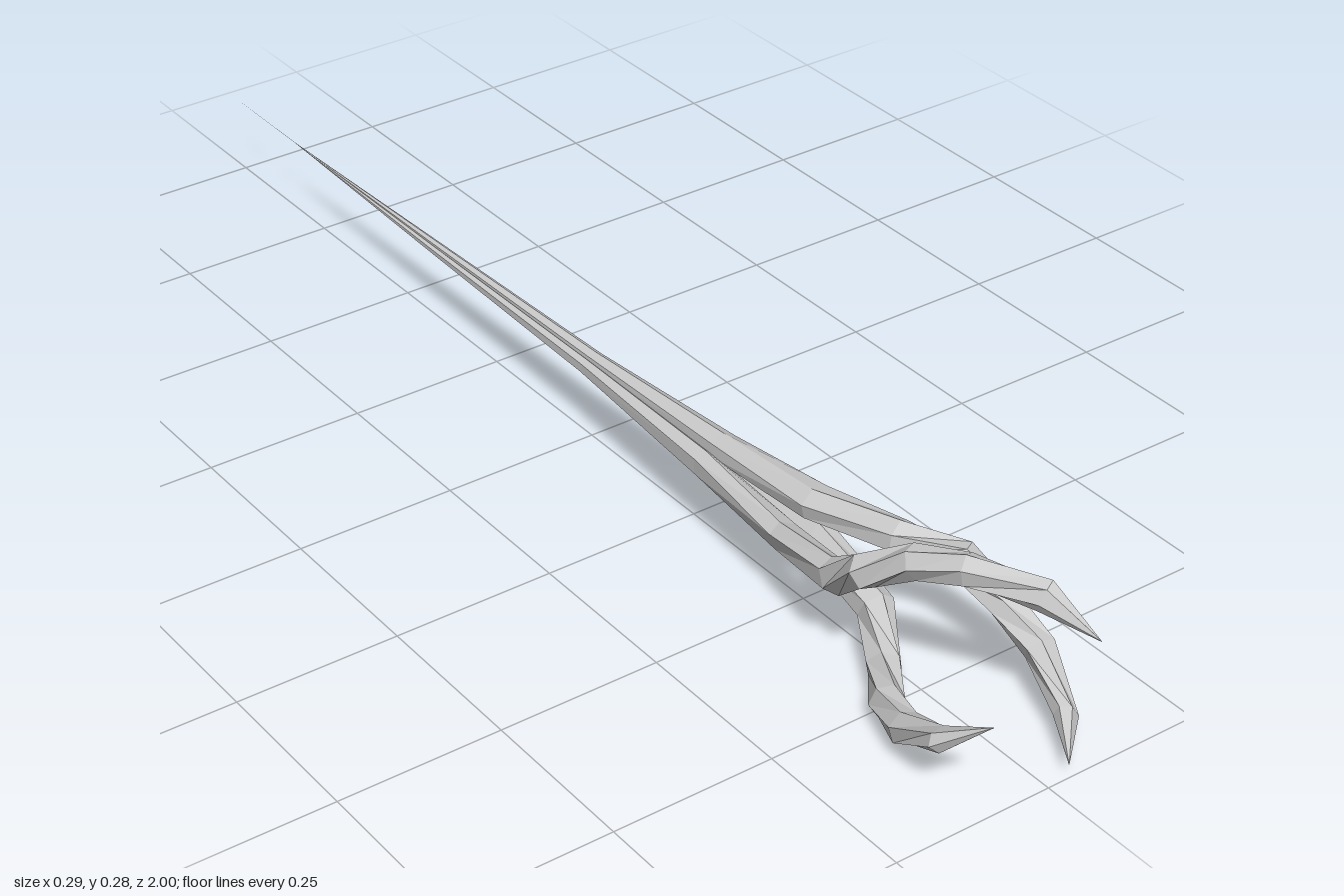
import * as THREE from 'three';

const AXIS_Y = 0.125;
const SIDES = 6;

// One strand: x, y (from the axis), z, radius outward, radius sideways
const STRAND = [
  [0, 0, -1, 0.00005, 0.00005],
  [0, 0, -0.83, 0.0003, 0.0003],
  [0.002, 0.005, -0.4, 0.006, 0.007],
  [0.005, 0.009, 0, 0.011, 0.014],
  [0.008, 0.019, 0.3, 0.02, 0.025],
  [0.014, 0.033, 0.5, 0.022, 0.029],
  [0.046, 0.042, 0.635, 0.024, 0.028],
  [0.098, 0.024, 0.705, 0.026, 0.026],
  [0.12, -0.02, 0.77, 0.026, 0.024],
  [0.122, -0.052, 0.84, 0.025, 0.022],
  [0.09, -0.091, 0.93, 0.023, 0.016],
  [0.033, -0.1, 1, 0.0004, 0.0004],
];

// Skins the strand with rings square to its path, ridge facing out of the curl
function strandGeometry() {
  const path = STRAND.map(([x, y, z]) => new THREE.Vector3(x, y, z));
  const positions = [];
  const index = [];
  path.forEach((p, i) => {
    const before = path[Math.max(i - 1, 0)];
    const after = path[Math.min(i + 1, path.length - 1)];
    const dirIn = p.clone().sub(before).normalize();
    const dirOut = after.clone().sub(p).normalize();
    const tangent = dirIn.add(dirOut).normalize();
    const curlX = 0.045 * THREE.MathUtils.smoothstep(p.z, 0.2, 0.75);
    const out = new THREE.Vector3(p.x - curlX, p.y + 0.025, 0);
    out.addScaledVector(tangent, -out.dot(tangent)).normalize();
    const side = tangent.clone().cross(out);
    const [, , , rOut, rSide] = STRAND[i];
    for (let j = 0; j < SIDES; j++) {
      const a = (j / SIDES) * Math.PI * 2;
      const v = p.clone()
        .addScaledVector(out, Math.cos(a) * rOut)
        .addScaledVector(side, Math.sin(a) * rSide);
      positions.push(v.x, v.y, v.z);
      if (i < path.length - 1) {
        const k = (j + 1) % SIDES;
        const [A, B, C, D] = [i * SIDES + j, i * SIDES + k, (i + 1) * SIDES + j, (i + 1) * SIDES + k];
        index.push(A, B, C, B, D, C);
      }
    }
  });
  const geometry = new THREE.BufferGeometry();
  geometry.setAttribute('position', new THREE.Float32BufferAttribute(positions, 3));
  geometry.setIndex(index);
  const flat = geometry.toNonIndexed();
  flat.computeVertexNormals();
  return flat;
}

export function createModel() {
  const group = new THREE.Group();
  group.name = 'clawedStaff';
  const material = new THREE.MeshStandardMaterial({ color: 0xcccccc, flatShading: true });
  const geometry = strandGeometry();

  // Three strands merge into the tapering shaft and open into curled claws
  ['rightClaw', 'topClaw', 'lowerClaw'].forEach((name, i) => {
    const claw = new THREE.Mesh(geometry, material);
    claw.name = name;
    claw.position.y = AXIS_Y;
    claw.rotation.z = (i * Math.PI * 2) / 3;
    group.add(claw);
  });
  return group;
}
